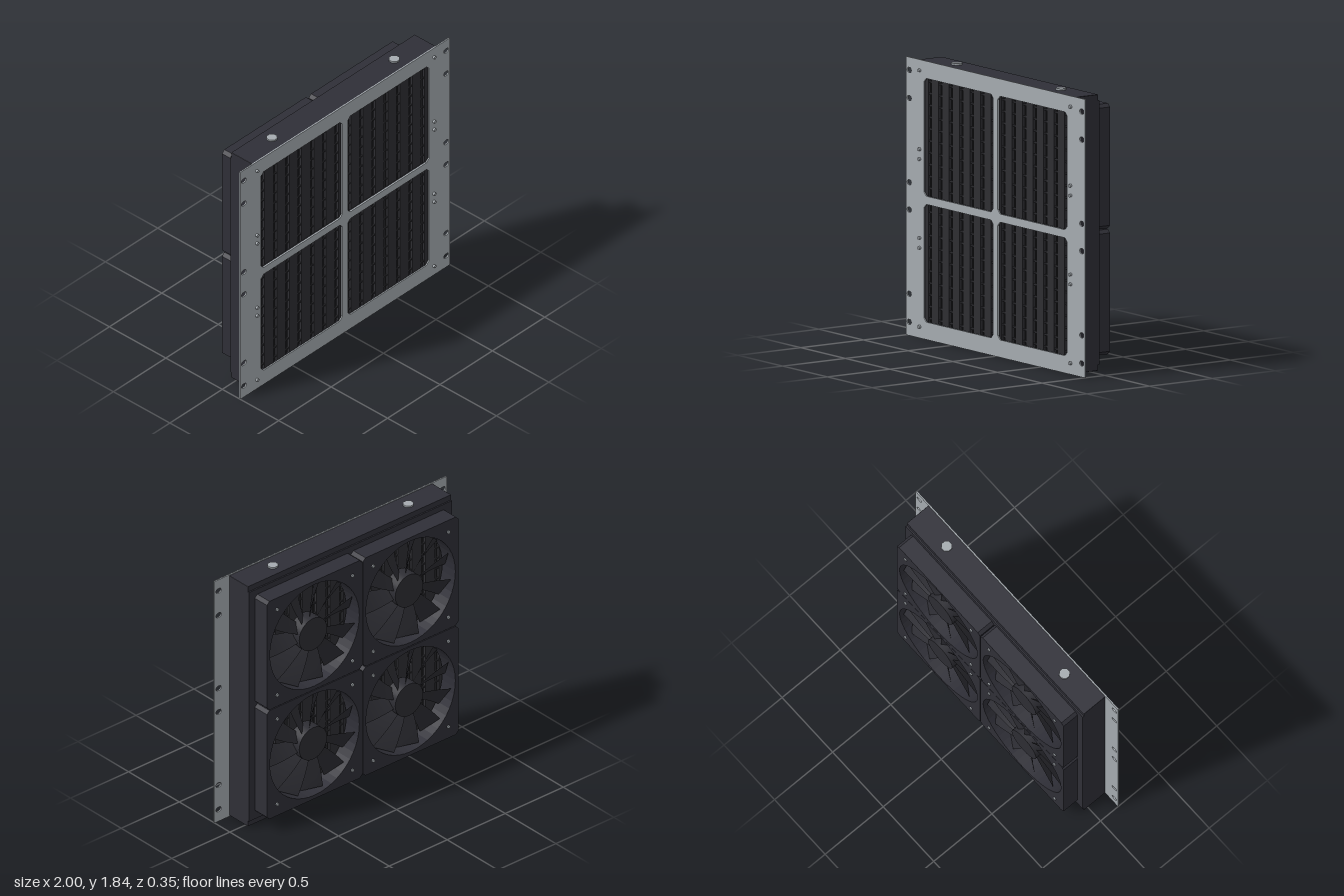
import * as THREE from 'three';

export function createModel() {
  const root = new THREE.Group();
  const mat = (name, color, side = THREE.FrontSide) => {
    const m = new THREE.MeshStandardMaterial({ color, side });
    m.name = name;
    return m;
  };
  const steel = mat('brushed steel', 0xa5abb0);
  const shell = mat('dark shell', 0x2f2f37);
  const core = mat('core black', 0x2e2e32);
  const finMat = mat('fin grey', 0x3d3e41);
  const bladeMat = mat('fan black', 0x2d2d33, THREE.DoubleSide);

  const add = (name, geo, material, x = 0, y = 0, z = 0, parent = root) => {
    const m = new THREE.Mesh(geo, material);
    m.name = name;
    m.position.set(x, y, z);
    parent.add(m);
    return m;
  };
  // Rectangle with cut corners, usable as outline or hole
  const cutRect = (x0, y0, x1, y1, c, Type = THREE.Shape) => {
    const pts = [[x0 + c, y0], [x1 - c, y0], [x1, y0 + c], [x1, y1 - c],
      [x1 - c, y1], [x0 + c, y1], [x0, y1 - c], [x0, y0 + c]];
    return new Type(pts.map(([x, y]) => new THREE.Vector2(x, y)));
  };
  const rect = (x0, y0, x1, y1, Type) => cutRect(x0, y0, x1, y1, 0.001, Type);
  const circle = (x, y, r) => new THREE.Path().absarc(x, y, r, 0, Math.PI * 2, true);
  const extrude = (shape, depth) =>
    new THREE.ExtrudeGeometry(shape, { depth, bevelEnabled: false, curveSegments: 24 });

  const sides = [-1, 1];
  const fanX = 0.4135, fanY = [0.5075, 1.3375], fanR = 0.385;

  // Front mounting plate with four windows and side slots
  const plate = rect(-1, 0, 1, 1.835);
  for (const s of sides) {
    for (const y of [0.115, 0.945])
      plate.holes.push(cutRect(s * 0.4135 - 0.388, y, s * 0.4135 + 0.388, y + 0.776, 0.025, THREE.Path));
    for (const y of [0.09, 0.275, 0.83, 1.01, 1.565, 1.75]) {
      const slot = new THREE.Path();
      slot.absarc(s * 0.965 + 0.006, y, 0.017, -Math.PI / 2, Math.PI / 2, false);
      slot.absarc(s * 0.965 - 0.006, y, 0.017, Math.PI / 2, Math.PI * 1.5, false);
      plate.holes.push(slot);
    }
  }
  add('frontPlate', extrude(plate, 0.01), steel, 0, 0, 0.15);

  // Plate screws
  const screwGeo = new THREE.CylinderGeometry(0.011, 0.011, 0.016, 12).rotateX(Math.PI / 2);
  for (const s of sides)
    for (const y of [0.075, 0.595, 0.66, 1.18, 1.245, 1.765])
      add('plateScrew', screwGeo, steel, s * 0.845, y, 0.167);

  // Housing frame, hollow around the core
  const frame = rect(-0.875, 0.01, 0.875, 1.83);
  frame.holes.push(rect(-0.82, 0.1, 0.82, 1.735, THREE.Path));
  add('housing', extrude(frame, 0.184), shell, 0, 0, -0.035);

  // Rear shroud plate with fan openings
  const shroud = rect(-0.875, 0.05, 0.875, 1.79);
  for (const s of sides) for (const y of fanY) shroud.holes.push(circle(s * fanX, y, fanR));
  add('rearShroud', extrude(shroud, 0.01), shell, 0, 0, -0.045);

  // Window cross bars behind the plate
  add('crossBar', new THREE.BoxGeometry(0.05, 1.64, 0.01), core, 0, 0.9175, 0.144);
  add('crossBar', new THREE.BoxGeometry(1.64, 0.05, 0.01), core, 0, 0.9175, 0.144);

  // Radiator core: wide flat tubes with finned strips between
  const pitch = 0.1175, coreH = 1.636, coreY = 0.9175;
  const tubeGeo = new THREE.BoxGeometry(0.083, coreH, 0.165);
  const stripGeo = new THREE.BoxGeometry(0.036, coreH, 0.13);
  const ribGeo = new THREE.BoxGeometry(0.005, coreH, 0.15);
  for (let i = -6; i <= 6; i++) add('coreTube', tubeGeo, core, i * pitch, coreY, 0.0575);
  for (const s of sides)
    add('coreEndTube', new THREE.BoxGeometry(0.042, coreH, 0.165), core, s * 0.801, coreY, 0.0575);
  for (let i = -7; i < 7; i++) {
    const x = (i + 0.5) * pitch;
    add('finStrip', stripGeo, finMat, x, coreY, 0.0575);
    add('finRib', ribGeo, core, x, coreY, 0.0575);
  }
  const rowGeo = new THREE.BoxGeometry(1.63, 0.01, 0.156);
  for (let i = 0; i < 21; i++) add('finRow', rowGeo, core, 0, 0.1375 + i * 0.078, 0.0575);

  // Fan: cut-corner frame, hub, pitched blades, corner bolts
  const fanShape = cutRect(-0.411, -0.412, 0.411, 0.412, 0.022);
  fanShape.holes.push(circle(0, 0, fanR));
  const fanFrameGeo = extrude(fanShape, 0.12);
  const hubGeo = new THREE.CylinderGeometry(0.12, 0.12, 0.1, 28).rotateX(Math.PI / 2);
  const bladeGeo = new THREE.PlaneGeometry(1, 1, 4, 1);
  const p = bladeGeo.attributes.position;
  for (let i = 0; i < p.count; i++) {
    const t = p.getX(i) + 0.5, w = p.getY(i);
    const angle = 0.75 - 0.25 * t;
    const width = 0.085 + 0.075 * t;
    p.setXYZ(i, 0.1 + 0.275 * t, w * width * Math.cos(angle) + 0.03 * t * t, w * width * Math.sin(angle));
  }
  bladeGeo.computeVertexNormals();
  const boltGeo = new THREE.CylinderGeometry(0.012, 0.012, 0.014, 12).rotateX(Math.PI / 2);
  const blades = 11;
  for (const s of sides) for (const y of fanY) {
    const fan = new THREE.Group();
    fan.name = 'fan';
    fan.position.set(s * fanX, y, 0);
    root.add(fan);
    add('fanFrame', fanFrameGeo, shell, 0, 0, -0.165, fan);
    add('fanHub', hubGeo, bladeMat, 0, 0, -0.1, fan);
    for (let i = 0; i < blades; i++)
      add('fanBlade', bladeGeo, bladeMat, 0, 0, -0.1, fan).rotation.z = (i / blades) * Math.PI * 2;
    for (const bx of sides) for (const by of sides)
      add('fanBolt', boltGeo, steel, bx * 0.324, by * 0.324, -0.166, fan);
  }

  // Filler caps on top
  const capGeo = new THREE.CylinderGeometry(0.037, 0.037, 0.014, 8).rotateY(Math.PI / 8);
  for (const s of sides) add('topCap', capGeo, steel, s * 0.583, 1.834, 0.053);

  return root;
}
